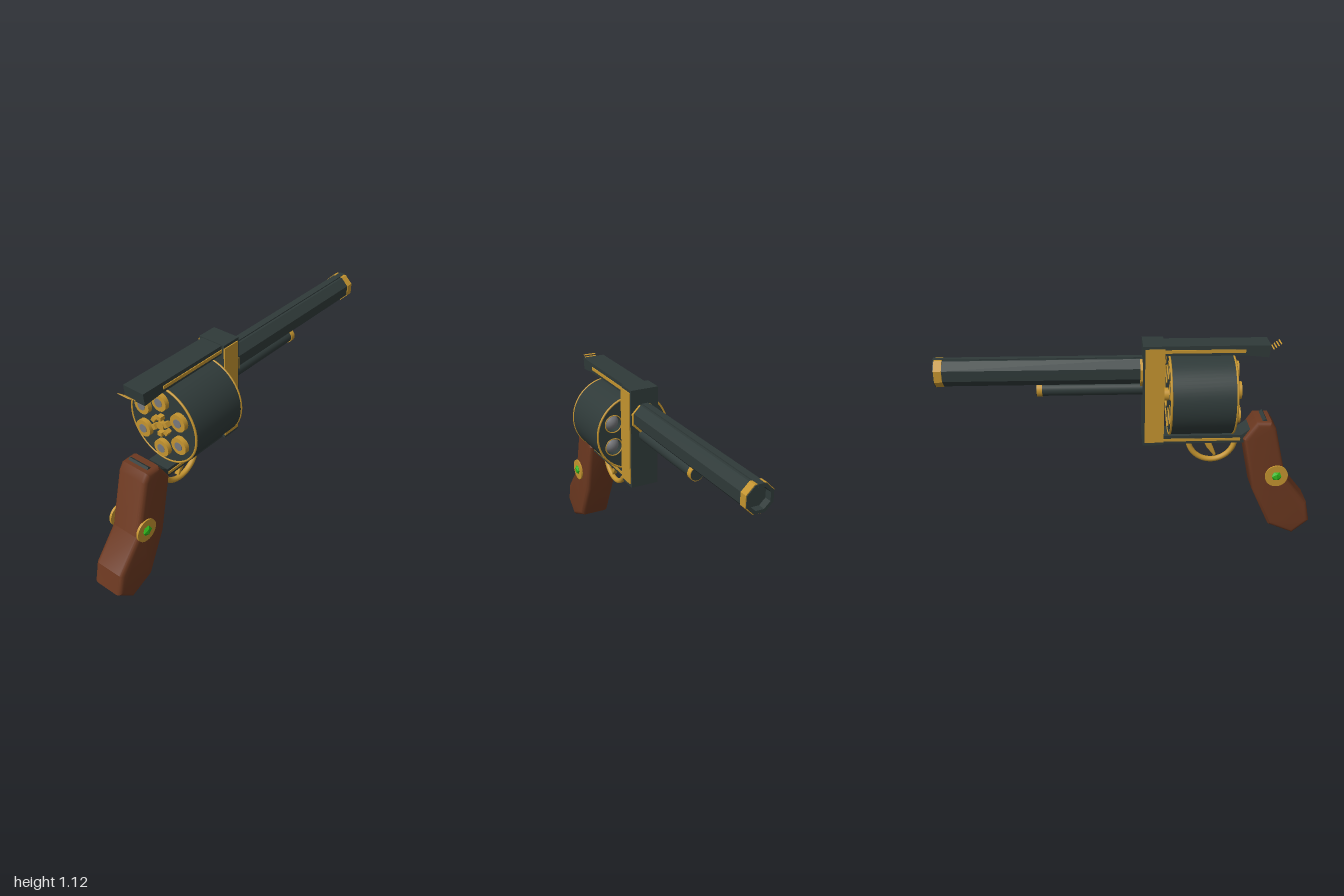
import * as THREE from 'three';
import { toCreasedNormals } from 'three/addons/utils/BufferGeometryUtils.js';

const paint = (name, color) => {
  const m = new THREE.MeshStandardMaterial({ color });
  m.name = name;
  return m;
};

export function createModel() {
  const steel = paint('dark steel', 0x2f3a39);
  const gold = paint('gold', 0xc4942f);
  const wood = paint('brown wood', 0x6b3820);
  const lead = paint('grey lead', 0x77787c);
  const green = paint('green gem', 0x2fb51c);

  const root = new THREE.Group();
  root.name = 'revolver';

  const add = (name, geo, mat, x = 0, y = 0, z = 0, parent = root) => {
    const mesh = new THREE.Mesh(geo, mat);
    mesh.name = name;
    mesh.position.set(x, y, z);
    parent.add(mesh);
    return mesh;
  };
  // box given by its x and y limits, centred on z
  const box = (name, mat, x0, x1, y0, y1, halfZ) =>
    add(name, new THREE.BoxGeometry(x1 - x0, y1 - y0, halfZ * 2), mat, (x0 + x1) / 2, (y0 + y1) / 2);
  // cylinder lying along x between x0 and x1
  const rod = (name, mat, x0, x1, y, r, z = 0, sides = 32, turn = 0) => {
    const g = new THREE.CylinderGeometry(r, r, x1 - x0, sides);
    g.rotateY(turn).rotateZ(-Math.PI / 2);
    return add(name, sides < 12 ? toCreasedNormals(g, 0.4) : g, mat, (x0 + x1) / 2, y, z);
  };
  // open-centred ring turned about the x axis
  const ring = (name, mat, x, y, z, r, tube) => {
    const g = new THREE.TorusGeometry(r, tube, 8, 48).rotateY(Math.PI / 2);
    return add(name, g, mat, x, y, z);
  };
  // side profile extruded to a total half width, with an optional rounded edge
  const slab = (name, mat, pts, halfZ, bevel = 0) => {
    const shape = new THREE.Shape(pts.map(([x, y]) => new THREE.Vector2(x, y)));
    const depth = 2 * (halfZ - bevel);
    const g = new THREE.ExtrudeGeometry(shape, {
      depth, bevelEnabled: bevel > 0, bevelSize: bevel, bevelThickness: bevel,
      bevelOffset: -bevel, bevelSegments: 4,
    });
    g.translate(0, 0, -depth / 2);
    return add(name, toCreasedNormals(g, 0.45), mat);
  };

  // Grip with a medallion and gem on each side
  slab('grip', wood, [
    [-0.745, 0.69], [-0.665, 0.69], [-0.6, 0.59], [-0.665, 0.285], [-0.77, 0.06],
    [-0.91, 0], [-1, 0.08], [-0.975, 0.195], [-0.845, 0.355], [-0.772, 0.65],
  ], 0.09, 0.025);
  for (const s of [1, -1]) {
    const disc = new THREE.CylinderGeometry(0.062, 0.062, 0.012, 32).rotateX(Math.PI / 2);
    add('medallion', disc, gold, -0.79, 0.375, s * 0.092);
    const gem = add('gem', new THREE.IcosahedronGeometry(0.03, 0), green, -0.79, 0.375, s * 0.096);
    gem.scale.z = 0.6;
  }

  // Frame: front block, top strap, bottom strap and tang
  box('frontBlock', steel, -0.175, -0.065, 0.565, 1.115, 0.078);
  slab('topStrap', steel, [
    [-0.17, 1.06], [-0.17, 1.11], [-0.712, 1.11], [-0.705, 1.045], [-0.6, 1.056],
  ], 0.062);
  slab('bottomStrapAndTang', steel, [
    [-0.17, 0.565], [-0.17, 0.61], [-0.59, 0.61], [-0.63, 0.64], [-0.715, 0.702],
    [-0.73, 0.68], [-0.66, 0.565],
  ], 0.062);
  for (const s of [1, -1]) {
    const plate = (name, x0, x1, y0, y1, z) => {
      box(name, gold, x0, x1, y0, y1, 0.004).position.z = s * z;
    };
    plate('blockPlate', -0.176, -0.076, 0.583, 1.1, 0.08);
    plate('topInlay', -0.585, -0.176, 1.073, 1.09, 0.0625);
    plate('bottomInlay', -0.585, -0.176, 0.58, 0.594, 0.0625);
  }

  // Rear sight slats, thin and tilted
  const sight = new THREE.Group();
  sight.name = 'rearSight';
  sight.position.set(-0.752, 1.092, 0);
  sight.rotation.z = -0.65;
  for (let i = 0; i < 4; i++) {
    add('sightSlat', new THREE.BoxGeometry(0.007, 0.003, 0.07), gold, -0.022 + i * 0.015, 0, 0, sight);
  }
  root.add(sight);

  // Octagonal barrel with a bored muzzle, top rib and collars
  const barrelY = 0.965;
  const profile = [[0, -0.07], [0.073, -0.07], [0.073, 0.995], [0.056, 0.995], [0.054, 0.96], [0, 0.96]]
    .map(([r, h]) => new THREE.Vector2(r, h));
  const barrel = new THREE.LatheGeometry(profile, 8).rotateY(Math.PI / 8).rotateZ(-Math.PI / 2);
  add('barrel', toCreasedNormals(barrel.toNonIndexed(), 0.3), steel, 0, barrelY);
  box('barrelRib', steel, -0.06, 0.998, 1.02, 1.038, 0.016);
  rod('rearCollar', gold, -0.068, -0.052, 0.958, 0.08, 0, 8, Math.PI / 8);
  const muzzle = new THREE.LatheGeometry(
    [[0.07, -0.02], [0.077, -0.02], [0.077, 0.02], [0.07, 0.02]].map(([r, h]) => new THREE.Vector2(r, h)), 8);
  muzzle.rotateY(Math.PI / 8).rotateZ(-Math.PI / 2);
  add('muzzleRing', toCreasedNormals(muzzle.toNonIndexed(), 0.3), gold, 0.97, barrelY);

  // Ejector rod beneath the barrel
  rod('ejectorRod', steel, -0.07, 0.482, 0.862, 0.034);
  rod('ejectorRing', gold, 0.452, 0.48, 0.862, 0.038);

  // Drum with six chambers
  const drumY = 0.825, R = 0.21, x0 = -0.538, x1 = -0.203;
  const drum = new THREE.Shape().absarc(0, 0, R, 0, Math.PI * 2, false);
  const chambers = [];
  for (let i = 0; i < 6; i++) {
    const a = Math.PI / 6 + i * Math.PI / 3;
    chambers.push([0.133 * Math.cos(a), 0.133 * Math.sin(a), a]);
  }
  for (const [u, v] of chambers) {
    drum.holes.push(new THREE.Path().absarc(u, v, 0.047, 0, Math.PI * 2, true));
  }
  const drumGeo = new THREE.ExtrudeGeometry(drum, { depth: x1 - x0, bevelEnabled: false, curveSegments: 32 });
  drumGeo.rotateY(Math.PI / 2);
  add('drum', toCreasedNormals(drumGeo, 0.6), steel, x0, drumY);
  ring('drumRim', gold, x0 + 0.002, drumY, 0, R - 0.002, 0.006);
  ring('drumRim', gold, x1 - 0.002, drumY, 0, R - 0.002, 0.006);
  for (const [u, v, a] of chambers) {
    const y = drumY + v;
    ring('chamberRing', gold, x1, y, u, 0.048, 0.003);
    add('bullet', new THREE.SphereGeometry(0.046, 24, 16), lead, x1 - 0.05, y, u);
    rod('cartridgeBase', gold, -0.562, x0 + 0.03, y, 0.046, u);
    rod('primer', lead, -0.565, -0.56, y, 0.023, u, 20);
    // ratchet tooth
    const tooth = add('ratchetTooth', new THREE.BoxGeometry(0.03, 0.026, 0.022), gold,
      -0.552, drumY + 0.045 * Math.sin(a), 0.045 * Math.cos(a));
    tooth.rotation.x = -a;
  }
  rod('ratchetHub', gold, -0.562, x0, drumY, 0.022);
  rod('axle', gold, x1 - 0.01, -0.17, drumY, 0.034);

  // Trigger guard and trigger
  const guard = new THREE.TorusGeometry(0.127, 0.015, 12, 40, Math.PI).rotateZ(Math.PI);
  add('triggerGuard', guard, gold, -0.442, 0.565);
  slab('trigger', gold, [
    [-0.425, 0.575], [-0.385, 0.575], [-0.415, 0.515], [-0.455, 0.465], [-0.468, 0.468], [-0.45, 0.515],
  ], 0.014, 0.004);

  return root;
}
